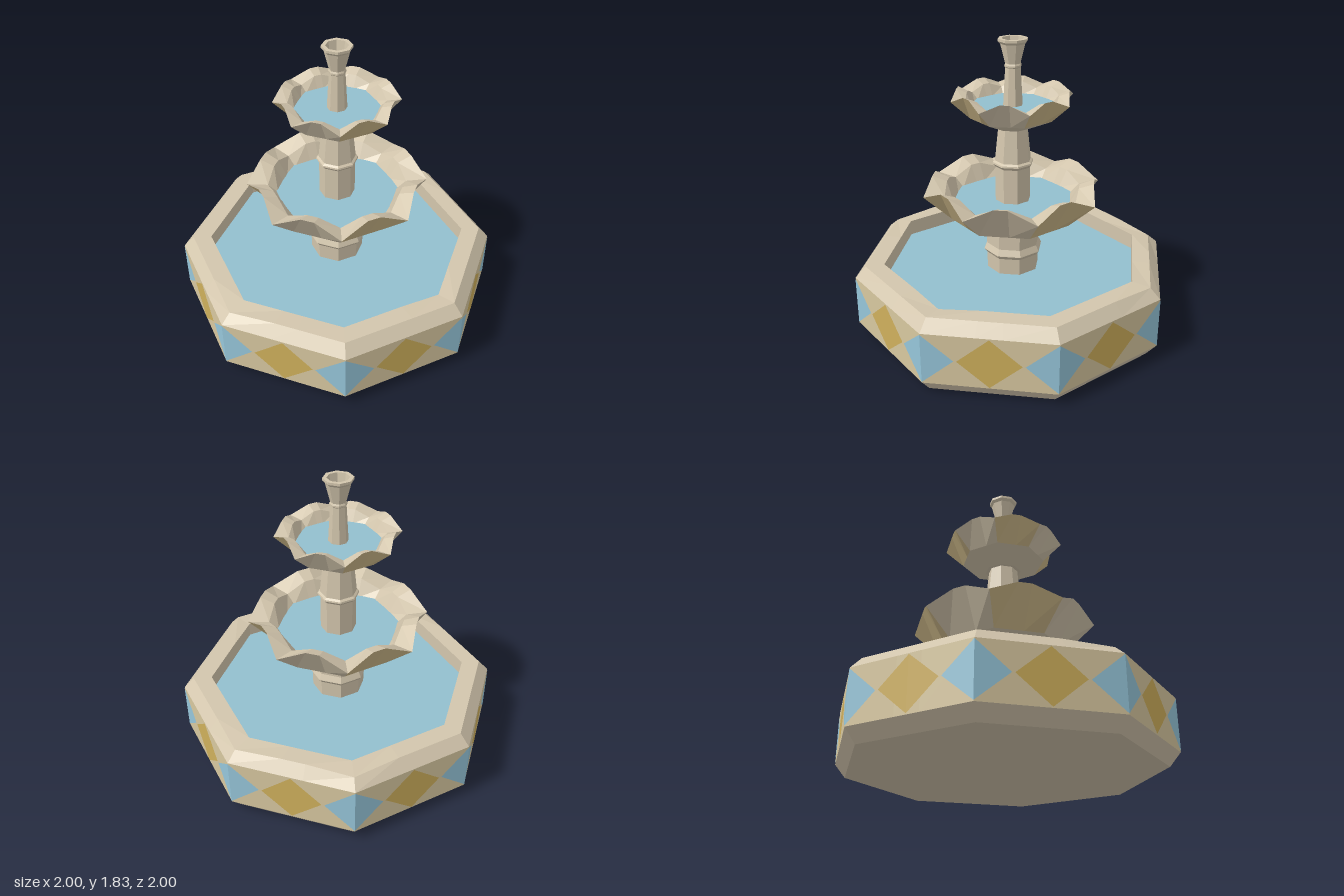
import * as THREE from 'three';

const mat = (name, color) => {
  const m = new THREE.MeshStandardMaterial({ color });
  m.name = name;
  return m;
};

const SIDES = 8;
const SPLITS = [0, 0.4, 0.6]; // points along each side of the octagon
const APOTHEM = Math.cos(Math.PI / SIDES);

const corner = (i, r, y) => {
  const a = (i / SIDES) * Math.PI * 2;
  return new THREE.Vector3(Math.sin(a) * r, y, Math.cos(a) * r);
};

// One octagonal ring; mid-side points may have their own radius and height
function ring(r, y, rMid = r * APOTHEM, yMid = y) {
  const pts = [];
  for (let i = 0; i < SIDES; i++) {
    for (const t of SPLITS) {
      const p = corner(i, r, y).lerp(corner(i + 1, r, y), t);
      if (t > 0 && r > 0) {
        const k = rMid / (r * APOTHEM);
        p.set(p.x * k, yMid, p.z * k);
      }
      pts.push(p);
    }
  }
  return pts;
}

// Faceted geometry from a list of triangle corners
function facets(tris) {
  const flat = [];
  for (const [a, b, c] of tris) {
    const n = b.clone().sub(a).cross(c.clone().sub(a));
    if (n.length() > 1e-9) for (const p of [a, b, c]) flat.push(p.x, p.y, p.z);
  }
  const g = new THREE.BufferGeometry();
  g.setAttribute('position', new THREE.Float32BufferAttribute(flat, 3));
  g.computeVertexNormals();
  return g;
}

// Skin between successive rings; keep(side) selects which octagon sides to make
function loft(rings, keep = () => true) {
  const tris = [];
  for (let k = 0; k < rings.length - 1; k++) {
    const lo = rings[k], hi = rings[k + 1], n = lo.length;
    for (let j = 0; j < n; j++) {
      if (!keep(Math.floor(j / SPLITS.length))) continue;
      const m = (j + 1) % n;
      tris.push([lo[j], lo[m], hi[m]], [lo[j], hi[m], hi[j]]);
    }
  }
  return facets(tris);
}

const turned = (profile) => loft(profile.map(([r, y]) => ring(r, y)));

export function createModel() {
  const stone = mat('pale stone', 0xd3c6ad);
  const sand = mat('sandy stone', 0xcfba8a);
  const wall = mat('cream wall', 0xd8c8a0);
  const water = mat('water', 0x93bfce);
  const blue = mat('blue tile', 0x96c6da);
  const ochre = mat('ochre tile', 0xcfb05c);

  const group = new THREE.Group();
  group.name = 'fountain';
  const add = (name, geometry, material, parent = group) => {
    const mesh = new THREE.Mesh(geometry, material);
    mesh.name = name;
    parent.add(mesh);
    return mesh;
  };

  // Basin: base, painted wall, and rim with worn corners
  add('basinBase', turned([[0, 0], [0.935, 0], [1, 0.08]]), stone);
  add('basinWall', turned([[1, 0.08], [1, 0.4]]), wall);
  const rimOuter = ring(1, 0.4);
  const rimTop = ring(0.935, 0.47);
  const rimInner = ring(0.82, 0.47);
  const wear = (pts, side, drop) => { pts[side * SPLITS.length].y -= drop; };
  wear(rimTop, 0, 0.015);
  wear(rimTop, 4, 0.01);
  wear(rimTop, 5, 0.015);
  wear(rimInner, 2, 0.01);
  add('basinRim', loft([rimOuter, rimTop, rimInner, ring(0.82, 0.36)]), stone);
  add('basinWater', turned([[0.82, 0.37], [0, 0.37]]), water);

  // Painted diamonds: ochre mid-side, blue folded around each corner
  const ochreTris = [], blueTris = [];
  const low = 0.085, mid = 0.24, high = 0.395, R = 1.002;
  for (let i = 0; i < SIDES; i++) {
    const at = (t, y) => corner(i, R, y).lerp(corner(i + 1, R, y), t);
    const tri = (list, ...p) => list.push(p.map(([t, y]) => at(t, y)));
    tri(ochreTris, [0.26, mid], [0.5, low], [0.5, high]);
    tri(ochreTris, [0.5, low], [0.74, mid], [0.5, high]);
    tri(blueTris, [0, low], [0.24, mid], [0, high]);
    tri(blueTris, [1, low], [1, high], [0.76, mid]);
  }
  add('ochreDiamonds', facets(ochreTris), ochre);
  add('blueDiamonds', facets(blueTris), blue);

  // Pedestal, middle column and hollow spout
  add('pedestal', turned([
    [0.165, 0.36], [0.168, 0.475], [0.187, 0.5], [0.185, 0.505], [0.168, 0.54], [0.168, 0.64],
  ]), stone);
  add('middleColumn', turned([
    [0.11, 0.8], [0.11, 1.05], [0.128, 1.07], [0.126, 1.08], [0.113, 1.09], [0.09, 1.31],
  ]), stone);
  add('spout', turned([
    [0.062, 1.4], [0.047, 1.66], [0.052, 1.665], [0.052, 1.675], [0.047, 1.685],
    [0.076, 1.8], [0.09, 1.815], [0.09, 1.83], [0.066, 1.83], [0.055, 1.76], [0, 1.76],
  ]), stone);

  // Scalloped bowls, the upper one a smaller copy
  const bowl = (name, y, scale) => {
    const part = new THREE.Group();
    part.name = name;
    const belly = ring(0.39, 0.1);
    const lip = ring(0.56, 0.26, 0.5, 0.335);
    add('bowlUnderside', loft([ring(0, 0), ring(0.168, 0), belly]), stone, part);
    add('stonePetals', loft([belly, lip], (i) => i % 2 === 0), stone, part);
    add('sandyPetals', loft([belly, lip], (i) => i % 2 === 1), sand, part);
    add('bowlInside', loft([
      lip, ring(0.43, 0.25, 0.41, 0.3), ring(0.37, 0.19, 0.35, 0.19),
    ]), stone, part);
    add('bowlWater', loft([ring(0.38, 0.2, 0.36, 0.2), ring(0, 0.2)]), water, part);
    part.position.y = y;
    part.scale.setScalar(scale);
    group.add(part);
  };
  bowl('lowerBowl', 0.63, 1);
  bowl('upperBowl', 1.3, 0.67);

  return group;
}
